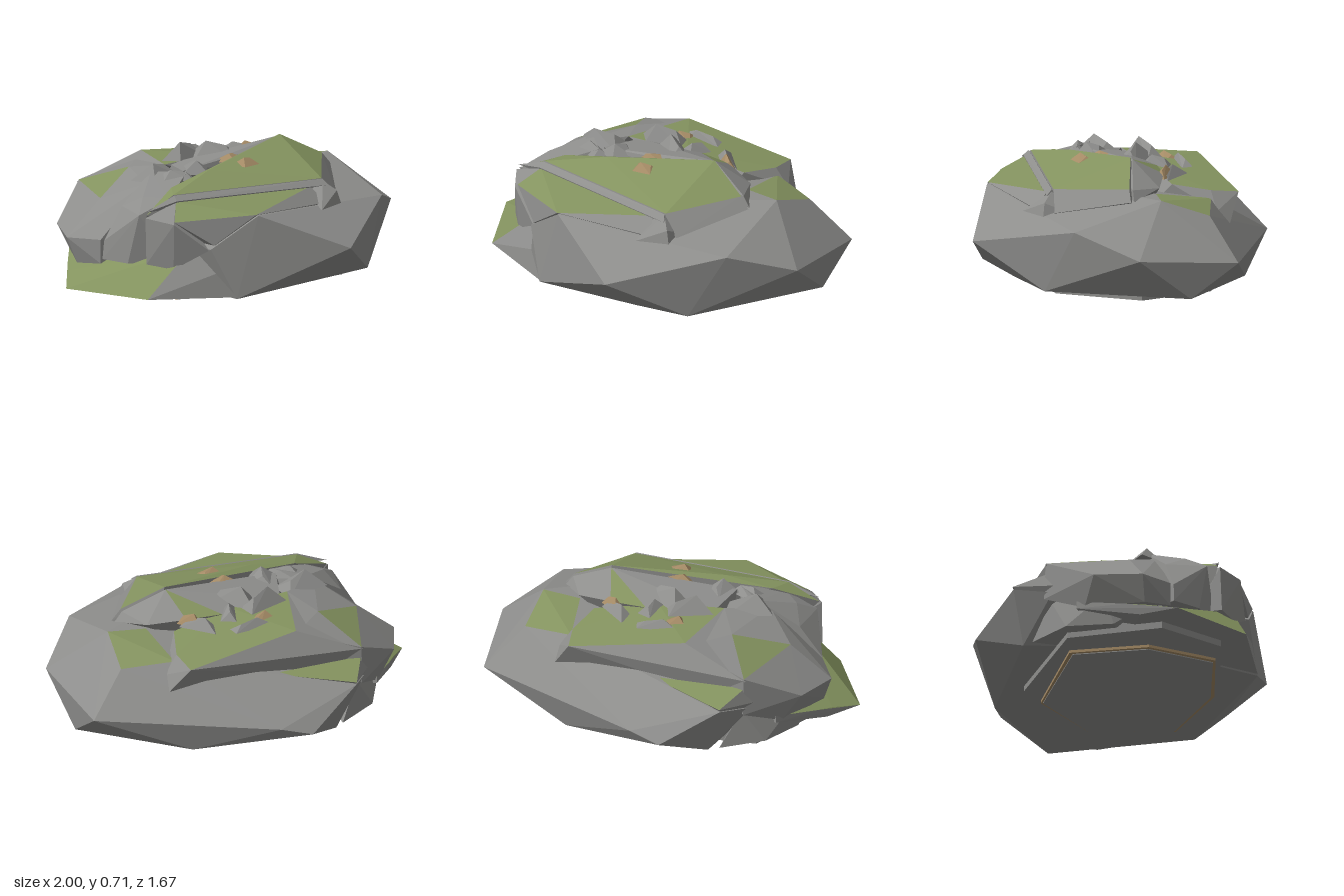
import * as THREE from 'three';
import { ConvexGeometry } from 'three/addons/geometries/ConvexGeometry.js';

const material = (color) => new THREE.MeshStandardMaterial({ color, flatShading: true });
const STONE = material(0x8e8e8c), MOSS = material(0x84935f), EARTH = material(0xa58b66);

const vectors = (points) => points.map((p) => new THREE.Vector3(...p));

// Faceted stone; faces accepted by mossy(normal, centre) become a moss mesh.
function rock(name, points, mossy = () => false, base = STONE) {
  const position = new ConvexGeometry(vectors(points)).attributes.position;
  const bare = [], green = [];
  const triangle = new THREE.Triangle(), n = new THREE.Vector3(), c = new THREE.Vector3();
  for (let i = 0; i < position.count; i += 3) {
    triangle.setFromAttributeAndIndices(position, i, i + 1, i + 2);
    triangle.getNormal(n);
    triangle.getMidpoint(c);
    (mossy(n, c) ? green : bare).push(
      ...triangle.a.toArray(), ...triangle.b.toArray(), ...triangle.c.toArray());
  }
  const group = new THREE.Group();
  group.name = name;
  for (const [part, data, mat] of [['Stone', bare, base], ['Moss', green, MOSS]]) {
    if (!data.length) continue;
    const geometry = new THREE.BufferGeometry();
    geometry.setAttribute('position', new THREE.Float32BufferAttribute(data, 3));
    geometry.computeVertexNormals();
    const mesh = new THREE.Mesh(geometry, mat);
    mesh.name = name + part;
    group.add(mesh);
  }
  return group;
}

// Flat layer between two heights from an outline of [x, z] corners
const layer = (outline, y0, y1) => outline.flatMap(([x, z]) => [[x, y0, z], [x, y1, z]]);

// Small irregular chip: a skewed spike on a four-cornered foot
function chip(name, [x, y, z], [w, h, d], turn, mat = STONE) {
  const foot = [[-0.5, 0, -0.3], [0.45, 0, -0.5], [0.5, 0, 0.35], [-0.3, 0, 0.5]];
  const top = [[-0.12, 1, 0.08], [0.28, 0.7, -0.1]];
  const mesh = rock(name, [...foot, ...top].map(([a, b, c]) => [a * w, b * h, c * d]), undefined, mat);
  mesh.position.set(x, y, z);
  mesh.rotation.y = turn;
  return mesh;
}

export function createModel() {
  const model = new THREE.Group();
  model.name = 'mossyRock';

  // Underside layers
  model.add(
    rock('earthPlate', layer([[-0.6, 0.02], [-0.45, -0.38], [0.2, -0.41], [0.5, -0.1],
      [0.42, 0.36], [-0.05, 0.48], [-0.5, 0.4]], 0.005, 0.05), undefined, EARTH),
    rock('earthPlateCore', layer([[-0.58, 0.02], [-0.44, -0.36], [0.19, -0.4], [0.49, -0.1],
      [0.41, 0.35], [-0.05, 0.46], [-0.48, 0.39]], 0, 0.04)),
    rock('basePlate', layer([[-0.82, 0.05], [-0.6, -0.42], [0.1, -0.52], [0.6, -0.4],
      [0.75, 0], [0.5, 0.42], [-0.1, 0.5], [-0.65, 0.4]], 0.02, 0.09)));

  // Large lower boulder
  model.add(
    rock('mainBoulder', [
      [1, 0.29, 0.06], [0.91, 0.24, -0.49], [0.93, 0.06, -0.23], [0.32, 0.28, 0.835],
      [0.77, 0.41, 0.37], [0.71, 0.55, -0.11], [0.72, 0.46, -0.37], [0.44, 0.49, -0.43],
      [0.5, 0.54, -0.12], [-0.03, 0.2, -0.82], [-0.2, 0.155, -0.84], [-0.1, 0.52, 0.46],
      [-0.15, 0.48, 0.67], [-0.28, 0.04, 0.67], [-0.2, 0.16, 0.68], [-0.4, 0.31, 0.6],
      [0.61, 0.06, 0.5], [0.36, 0.09, 0.62], [0.4, 0.05, -0.62], [-0.4, 0.05, -0.62],
      [-0.49, 0.33, -0.69], [-0.6, 0.28, -0.5], [-0.5, 0.05, 0],
    ], (n, c) => n.y > 0.7 && c.x > 0.4 && c.x < 0.73 && c.z < -0.05),
    rock('mossyShelf', [
      [-0.49, 0.345, -0.695], [-0.67, 0.3, -0.41], [-0.57, 0.4, -0.52], [-0.05, 0.4, -0.56],
      [-0.5, 0.2, -0.55], [-0.4, 0.25, -0.4],
    ], (n) => n.y > 0.4),
    rock('footStone', [
      [-0.76, 0.05, -0.2], [-0.66, 0.06, -0.44], [-0.45, 0.05, -0.58], [-0.55, 0.25, -0.5],
      [-0.76, 0.22, -0.25], [-0.78, 0.2, 0.02], [-0.4, 0.05, 0],
    ]));

  // Low wedge on the right-hand side
  model.add(rock('sideWedge', [
    [-1, 0.06, 0.1], [-0.74, 0.06, 0.52], [-0.46, 0.31, 0.5], [-0.28, 0.05, 0.67],
    [-0.38, 0.18, 0.62], [-0.7, 0.2, 0.1], [-0.9, 0.11, -0.06], [-0.88, 0.06, -0.08],
    [-0.85, 0.13, -0.15], [-0.7, 0.19, -0.39], [-0.7, 0.15, -0.39], [-0.4, 0.05, -0.1],
  ], (n) => n.y > 0.3 && n.x < 0 && n.z < 0.4));

  // Weathered shoulders on the right-hand side
  model.add(
    rock('backShoulder', [
      [-0.9, 0.29, -0.07], [-0.82, 0.3, -0.32], [-0.68, 0.47, -0.1], [-0.57, 0.46, -0.53],
      [-0.57, 0.25, -0.54], [-0.79, 0.17, 0.1], [-0.79, 0.3, 0.1], [-0.85, 0.15, -0.05],
      [-0.72, 0.15, -0.35], [-0.41, 0.57, -0.27], [-0.22, 0.57, -0.48], [-0.3, 0.61, -0.08],
      [-0.5, 0.57, 0.08], [-0.5, 0.3, 0.1],
    ], (n, c) => c.x < -0.55 && c.x > -0.67 && n.y > 0.6),
    rock('frontShoulder', [
      [-0.79, 0.2, 0.12], [-0.78, 0.3, 0.12], [-0.72, 0.2, 0.27], [-0.66, 0.47, 0.1],
      [-0.68, 0.47, 0.32], [-0.6, 0.54, 0.22], [-0.45, 0.62, 0.04], [-0.3, 0.625, 0.16],
      [-0.5, 0.2, 0.4], [-0.5, 0.54, 0.33], [-0.4, 0.25, -0.05],
    ]),
    rock('cornerStone', [
      [-0.68, 0.47, 0.39], [-0.58, 0.45, 0.52], [-0.57, 0.2, 0.5], [-0.68, 0.22, 0.4],
      [-0.5, 0.54, 0.4], [-0.4, 0.3, 0.58], [-0.45, 0.3, 0.3],
    ]));

  // Upper front slab, its ledge and the mossy step below
  model.add(
    rock('frontSlab', [
      [-0.67, 0.48, 0.38], [-0.5, 0.57, 0.37], [0.38, 0.56, 0.41], [0.59, 0.59, 0.04],
      [0.36, 0.71, -0.01], [-0.2, 0.635, 0.22], [-0.45, 0.58, 0.26], [0.64, 0.53, 0.04],
      [0.47, 0.45, 0.42], [-0.55, 0.35, 0.36], [0.3, 0.4, 0.42], [0.45, 0.42, -0.05],
    ], (n) => n.y > 0.75),
    rock('slabLedge', [
      [-0.67, 0.5, 0.385], [-0.5, 0.57, 0.38], [-0.5, 0.545, 0.41], [0.38, 0.56, 0.42],
      [0.4, 0.53, 0.45], [0.38, 0.53, 0.4], [-0.5, 0.53, 0.36],
    ]),
    rock('mossyStep', [
      [-0.57, 0.46, 0.51], [-0.5, 0.54, 0.4], [-0.1, 0.525, 0.46], [-0.16, 0.485, 0.665],
      [0.3, 0.53, 0.43], [0.36, 0.45, 0.5], [-0.38, 0.33, 0.6], [0.2, 0.4, 0.4], [-0.5, 0.35, 0.4],
    ], (n, c) => n.y > 0.5 && !(c.x > -0.1 && c.z > 0.5)),
    rock('pointedStone', [
      [0.3, 0.43, 0.56], [0.46, 0.43, 0.48], [0.44, 0.5, 0.47], [0.38, 0.55, 0.42],
      [0.2, 0.45, 0.43], [0.45, 0.45, 0.35],
    ]));

  // Upper back slab and the stone joining it to the front slab
  model.add(
    rock('backSlab', [
      [-0.58, 0.45, -0.53], [-0.22, 0.59, -0.48], [0.4, 0.51, -0.585], [0.5, 0.43, -0.45],
      [0.5, 0.36, -0.52], [0.38, 0.56, -0.23], [0.43, 0.53, -0.43], [-0.3, 0.61, -0.08],
      [0.05, 0.61, -0.15], [-0.5, 0.3, -0.5], [0.35, 0.33, -0.5], [0.3, 0.4, -0.1],
    ], (n, c) => n.y > 0.75 && c.x > -0.25),
    rock('middleStone', [
      [0.3, 0.6, -0.2], [0.5, 0.57, -0.14], [0.63, 0.53, 0.02], [0.59, 0.585, 0.02],
      [0.36, 0.7, -0.02], [0.2, 0.655, -0.06], [0.1, 0.655, 0.06], [-0.3, 0.62, 0.12],
      [-0.25, 0.6, -0.12], [0.1, 0.6, -0.2], [0.3, 0.4, -0.1], [-0.3, 0.4, 0],
    ], (n, c) => c.x > 0.2 && c.x < 0.45 && c.z < -0.08 && n.y > 0.8));

  // Loose chips and patches of earth on top
  const chips = [
    [[-0.14, 0.6, -0.17], [0.26, 0.1, 0.12], 0.3], [[0.0, 0.61, -0.1], [0.26, 0.09, 0.15], -0.7],
    [[0.06, 0.59, -0.2], [0.16, 0.06, 0.1], 1.1], [[-0.22, 0.6, 0.1], [0.16, 0.07, 0.18], 0.9],
    [[-0.41, 0.57, 0.02], [0.26, 0.09, 0.18], 0.2], [[-0.36, 0.59, 0.14], [0.2, 0.05, 0.12], -0.5],
    [[0.24, 0.57, -0.25], [0.22, 0.06, 0.1], -0.8], [[-0.02, 0.58, -0.35], [0.24, 0.05, 0.07], 0.1],
  ];
  chips.forEach(([at, size, turn]) => model.add(chip('stoneChip', at, size, turn)));
  const clods = [
    [[-0.1, 0.58, -0.29], [0.13, 0.05, 0.13], 0.2], [[0.28, 0.58, -0.21], [0.14, 0.06, 0.08], -0.8],
    [[0.01, 0.63, 0.07], [0.17, 0.04, 0.18], 0.4], [[0.04, 0.63, 0.19], [0.13, 0.04, 0.11], 0.1],
  ];
  clods.forEach(([at, size, turn]) => model.add(chip('earthClod', at, size, turn, EARTH)));

  return model;
}
